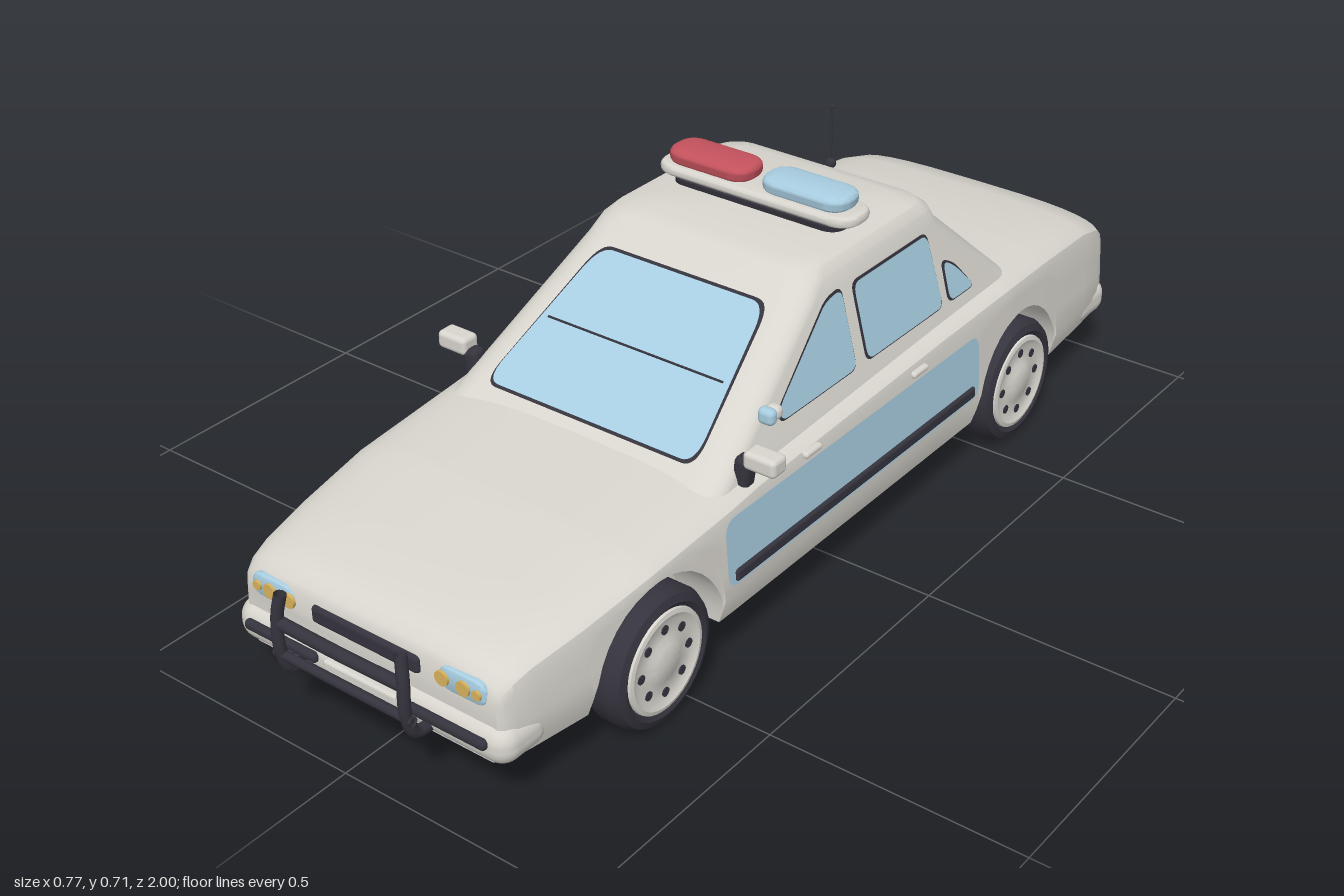
import * as THREE from 'three';
import { toCreasedNormals } from 'three/addons/utils/BufferGeometryUtils.js';
import { RoundedBoxGeometry } from 'three/addons/geometries/RoundedBoxGeometry.js';

const material = (name, color, side = THREE.FrontSide) =>
  Object.assign(new THREE.MeshStandardMaterial({ color, side }), { name });

// Skin a stack of closed rings (arrays of [x, y, z]) and cap both ends.
function loft(rings, crease = 0.6) {
  const n = rings[0].length, pos = rings.flat(2), idx = [];
  for (let i = 0; i < rings.length - 1; i++) {
    for (let j = 0; j < n; j++) {
      const k = (j + 1) % n, a = i * n + j, b = i * n + k;
      idx.push(a, b, b + n, a, b + n, a + n);
    }
  }
  [0, rings.length - 1].forEach((i) => {
    const c = pos.length / 3;
    for (let a = 0; a < 3; a++) pos.push(rings[i].reduce((s, p) => s + p[a], 0) / n);
    for (let j = 0; j < n; j++) {
      const p = i * n + j, q = i * n + (j + 1) % n;
      if (i) idx.push(c, p, q); else idx.push(c, q, p);
    }
  });
  const g = new THREE.BufferGeometry();
  g.setAttribute('position', new THREE.Float32BufferAttribute(pos, 3));
  g.setIndex(idx);
  return toCreasedNormals(g, crease);
}

// Polygon with softened corners.
function softShape(pts, r) {
  const v = pts.map((p) => new THREE.Vector2(...p)), s = new THREE.Shape();
  v.forEach((p, i) => {
    const toward = (q) => p.clone().lerp(q, Math.min(0.45, r / p.distanceTo(q)));
    const a = toward(v[(i + v.length - 1) % v.length]), b = toward(v[(i + 1) % v.length]);
    if (i) s.lineTo(a.x, a.y); else s.moveTo(a.x, a.y);
    s.quadraticCurveTo(p.x, p.y, b.x, b.y);
  });
  s.closePath();
  return s;
}
const rect = (w, h) => [[-w / 2, -h / 2], [w / 2, -h / 2], [w / 2, h / 2], [-w / 2, h / 2]];

// Linear interpolation in a table of rows [key, a, b, ...].
function sample(table, key) {
  let i = 0;
  while (i < table.length - 2 && key > table[i + 1][0]) i++;
  const t = (key - table[i][0]) / (table[i + 1][0] - table[i][0]);
  return table[i].map((v, k) => v + (table[i + 1][k] - v) * t);
}

export function createModel() {
  const car = new THREE.Group();
  car.name = 'patrolCar';
  const paint = material('paint', 0xd8d5ce);
  const glass = material('blueGlass', 0xa8cde0, THREE.DoubleSide);
  const rubber = material('darkRubber', 0x35333d, THREE.DoubleSide);
  const under = material('underbody', 0x1d1c21);
  const red = material('redLens', 0xc4525d);
  const amber = material('amberLamp', 0xd9b25c);

  const add = (name, geo, mat, x = 0, y = 0, z = 0, parent = car) => {
    const m = new THREE.Mesh(geo, mat);
    m.name = name;
    m.position.set(x, y, z);
    parent.add(m);
    return m;
  };
  const box = (name, mat, [w, h, d], [x, y, z], r = 0.01) =>
    add(name, new RoundedBoxGeometry(w, h, d, 3, Math.min(r, 0.48 * Math.min(w, h, d))), mat, x, y, z);
  const slab = (w, h, r, depth, bevel) => toCreasedNormals(new THREE.ExtrudeGeometry(
    softShape(rect(w - 2 * bevel, h - 2 * bevel), r),
    { depth, bevelSize: bevel, bevelThickness: bevel, bevelSegments: 4, curveSegments: 8 }), 0.7);
  const tube = (name, pts, r, mat) => add(name, new THREE.TubeGeometry(
    new THREE.CatmullRomCurve3(pts.map((p) => new THREE.Vector3(...p))), 16, r, 10), mat);

  // Lower body: z, half width, top height
  const hull = [[-0.985, 0.295, 0.29], [-0.975, 0.308, 0.325], [-0.95, 0.315, 0.345], [-0.88, 0.322, 0.363],
    [-0.7, 0.336, 0.378], [-0.55, 0.345, 0.385], [-0.3, 0.345, 0.38], [0.3, 0.345, 0.362], [0.38, 0.345, 0.354],
    [0.6, 0.34, 0.337], [0.75, 0.325, 0.316], [0.86, 0.308, 0.3], [0.9, 0.3, 0.287], [0.92, 0.292, 0.273],
    [0.928, 0.282, 0.258]];
  const AXLE = 0.58, FLOOR = 0.11, ARCH = 0.165;
  const stations = hull.map((h) => h[0]);
  for (const c of [-AXLE, AXLE]) {
    for (let i = 0; i <= 18; i++) stations.push(c - ARCH * Math.cos(Math.PI * i / 18));
  }
  stations.sort((a, b) => a - b);
  const flank = (hw, y) => hw - (y < 0.16 ? (0.16 - y) * 0.3 : (y - 0.16) * 0.07);
  const hullRing = (z) => {
    const [, hw, top] = sample(hull, z);
    const u = Math.min(1, Math.abs(Math.abs(z) - AXLE) / ARCH);
    const arch = FLOOR + 0.18 * Math.sqrt(1 - u * u), shoulder = Math.max(top - 0.045, arch + 0.002);
    const half = [[0, FLOOR], [0.24, FLOOR], [0.24, arch]];
    for (let i = 0; i <= 4; i++) {
      const y = arch + (shoulder - arch) * i / 4;
      half.push([flank(hw, y), y]);
    }
    const edge = flank(hw, shoulder);
    for (let i = 1; i <= 8; i++) {
      const a = Math.PI / 2 * i / 8;
      half.push([i < 8 ? edge * Math.cos(a) ** 0.6 : 0, shoulder + (top - shoulder) * Math.sin(a) ** 0.7]);
    }
    const mirrored = half.slice(1, -1).reverse().map(([x, y]) => [-x, y]);
    return [...half, ...mirrored].map(([x, y]) => [x, y, z]);
  };
  add('body', loft(stations.map(hullRing)), paint);

  // Cabin: height, front z, back z, half width
  const cabin = [[0.33, 0.422, -0.638, 0.31], [0.37, 0.36, -0.595, 0.3], [0.545, 0.085, -0.405, 0.254],
    [0.575, 0.053, -0.39, 0.245], [0.592, 0.03, -0.372, 0.23], [0.6, -0.005, -0.34, 0.2]];
  add('cabin', loft(cabin.map(([y, f, b, hw]) => {
    const r = 0.055, ring = [];
    for (let q = 0; q < 4; q++) {
      for (let i = 0; i <= 6; i++) {
        const a = Math.PI / 2 * (q + i / 6);
        const sx = q === 0 || q === 3 ? 1 : -1, sz = q < 2 ? b + r : f - r;
        ring.push([sx * (hw - r) + r * Math.cos(a), y, sz - r * Math.sin(a)]);
      }
    }
    return ring;
  }), 0.5), paint);

  // Glass plates with a dark seal, laid on a sloping face by a mapping rule
  const plate = (name, pts, r, place, mat, lift) => {
    const g = new THREE.ShapeGeometry(softShape(pts, r), 8), p = g.attributes.position;
    for (let i = 0; i < p.count; i++) p.setXYZ(i, ...place(p.getX(i), p.getY(i), lift));
    g.computeVertexNormals();
    add(name, g, mat);
  };
  const pane = (name, pts, r, place) => {
    const mid = [0, 1].map((k) => pts.reduce((s, p) => s + p[k], 0) / pts.length);
    const seal = pts.map((p) => p.map((v, k) => v + Math.sign(v - mid[k]) * 0.004));
    plate(name + 'Seal', seal, r, place, rubber, 0.002);
    plate(name, pts, r, place, glass, 0.005);
  };
  pane('windshield', [[-0.238, 0.37], [0.238, 0.37], [0.188, 0.545], [-0.188, 0.545]], 0.03,
    (x, y, l) => [x, y + l * 0.5, sample(cabin, y)[1] + l]);
  pane('rearWindow', [[-0.212, 0.392], [0.212, 0.392], [0.175, 0.52], [-0.175, 0.52]], 0.03,
    (x, y, l) => [x, y + l * 0.5, sample(cabin, y)[2] - l]);
  box('windshieldLine', rubber, [0.4, 0.004, 0.006], [0, 0.457, 0.23], 0.001);
  const sideWindows = {
    frontSideWindow: [[0.19, 0.395], [0.19, 0.42], [0.01, 0.54], [-0.042, 0.545], [-0.042, 0.395]],
    middleSideWindow: [[-0.08, 0.395], [-0.08, 0.54], [-0.325, 0.54], [-0.337, 0.395]],
    rearSideWindow: [[-0.362, 0.395], [-0.362, 0.475], [-0.395, 0.455], [-0.45, 0.395]],
  };

  // Wheel shapes
  const lathe = (pts) => toCreasedNormals(new THREE.LatheGeometry(pts.map((p) => new THREE.Vector2(...p)), 40), 0.6);
  const tyre = lathe([[0, -0.0425], [0.105, -0.0425], [0.122, -0.037], [0.13, -0.022], [0.13, 0.022],
    [0.122, 0.037], [0.108, 0.0425], [0.098, 0.036], [0, 0.034]]);
  const rim = lathe([[0.099, 0.034], [0.097, 0.041], [0.089, 0.043], [0.078, 0.037], [0.045, 0.037],
    [0.034, 0.043], [0, 0.045]]);
  const hole = new THREE.CylinderGeometry(0.009, 0.009, 0.004, 12);

  for (const s of [1, -1]) {
    const side = s > 0 ? 'left' : 'right';
    for (const [n, pts] of Object.entries(sideWindows)) {
      pane(side + n, pts, 0.02, (z, y, l) => [s * (sample(cabin, y)[3] + l), y, z]);
    }
    // Door panel, rubbing strip and handles
    plate(side + 'DoorPanel', [[-0.41, 0.182], [0.41, 0.182], [0.41, 0.315], [-0.41, 0.315]], 0.03,
      (z, y, l) => [s * (flank(0.345, y) + l), y, z], glass, 0.004);
    box(side + 'RubbingStrip', rubber, [0.014, 0.024, 0.78], [s * 0.345, 0.2, 0], 0.006);
    for (const z of [0.15, -0.2]) box(side + 'DoorHandle', paint, [0.02, 0.013, 0.05], [s * 0.332, 0.329, z], 0.006);

    // Wing mirror
    const arm = box(side + 'MirrorArm', rubber, [0.034, 0.065, 0.035], [s * 0.308, 0.36, 0.315], 0.012);
    arm.rotation.z = s * -0.15;
    box(side + 'Mirror', paint, [0.068, 0.036, 0.042], [s * 0.35, 0.395, 0.315], 0.01);

    // Headlamp with three lamps
    add(side + 'Headlight', slab(0.1, 0.046, 0.018, 0.04, 0.006), glass, s * 0.212, 0.237, 0.886);
    for (const [x, r] of [[0.172, 0.014], [0.217, 0.014], [0.246, 0.009]]) {
      add(side + 'Lamp', new THREE.CylinderGeometry(r, r, 0.006, 20), amber, s * x, 0.237, 0.934).rotation.x = Math.PI / 2;
    }
    box(side + 'BumperStrip', rubber, [0.17, 0.02, 0.018], [s * 0.187, 0.156, 0.945], 0.009);

    // Push bar upright and tail lamp
    tube(side + 'PushBarUpright', [[s * 0.141, 0.132, 0.935], [s * 0.141, 0.138, 0.97], [s * 0.141, 0.18, 0.988],
      [s * 0.141, 0.25, 0.988], [s * 0.134, 0.295, 0.982]], 0.011, rubber);
    box(side + 'TailLamp', red, [0.15, 0.026, 0.02], [s * 0.145, 0.265, -0.982], 0.006);
    box(side + 'ReverseLamp', paint, [0.04, 0.012, 0.01], [s * 0.12, 0.265, -0.989], 0.003);

    for (const z of [AXLE, -AXLE]) {
      const wheel = new THREE.Group();
      wheel.name = side + (z > 0 ? 'FrontWheel' : 'RearWheel');
      wheel.position.set(s * 0.303, 0.132, z);
      wheel.rotation.z = -s * Math.PI / 2;
      add('tyre', tyre, rubber, 0, 0, 0, wheel);
      add('rim', rim, paint, 0, 0, 0, wheel);
      for (let i = 0; i < 8; i++) {
        const a = Math.PI * i / 4;
        add('rimHole', hole, rubber, 0.064 * Math.cos(a), 0.037, 0.064 * Math.sin(a), wheel);
      }
      car.add(wheel);
    }
  }

  // Underbody
  box('chassis', under, [0.47, 0.035, 1.46], [0, 0.098, 0], 0.004);
  box('floorPan', under, [0.64, 0.014, 0.82], [0, 0.105, 0], 0.003);

  // Front end
  box('frontBumper', paint, [0.615, 0.08, 0.12], [0, 0.148, 0.884], 0.036);
  box('frontPlate', paint, [0.165, 0.034, 0.02], [0, 0.152, 0.944], 0.006);
  box('grille', rubber, [0.24, 0.034, 0.02], [0, 0.234, 0.926], 0.008);
  tube('upperPushBar', [[-0.141, 0.238, 0.986], [0, 0.238, 0.988], [0.141, 0.238, 0.986]], 0.012, rubber);
  tube('lowerPushBar', [[-0.155, 0.174, 0.986], [0, 0.174, 0.986], [0.155, 0.174, 0.986]], 0.009, rubber);

  // Rear end
  box('rearBumper', paint, [0.635, 0.08, 0.13], [0, 0.15, -0.931], 0.034);
  box('rearBumperStrip', rubber, [0.54, 0.02, 0.016], [0, 0.156, -0.992], 0.007);
  box('tailCentre', rubber, [0.15, 0.018, 0.02], [0, 0.265, -0.982], 0.005);
  box('rearPlate', paint, [0.12, 0.036, 0.016], [0, 0.222, -0.984], 0.005);

  // Roof light bar
  const lying = (name, geo, mat, x, y, z) => { add(name, geo, mat, x, y, z).rotation.x = -Math.PI / 2; };
  lying('lightBarFoot', slab(0.385, 0.08, 0.03, 0.008, 0.006), rubber, 0, 0.601, -0.16);
  lying('lightBarBase', slab(0.45, 0.1, 0.04, 0.002, 0.01), paint, 0, 0.625, -0.16);
  lying('redBeacon', slab(0.19, 0.088, 0.03, 0.006, 0.012), red, -0.109, 0.65, -0.16);
  lying('blueBeacon', slab(0.19, 0.088, 0.03, 0.006, 0.012), glass, 0.107, 0.65, -0.16);

  // Aerial
  add('aerial', new THREE.CylinderGeometry(0.002, 0.002, 0.12, 8), rubber, 0, 0.652, -0.385);
  add('aerialFoot', new THREE.SphereGeometry(0.011, 14, 10), rubber, 0, 0.594, -0.385);
  add('aerialTip', new THREE.SphereGeometry(0.004, 10, 8), rubber, 0, 0.712, -0.385);

  // Spotlight on the left windshield pillar
  box('spotlight', glass, [0.034, 0.032, 0.024], [0.305, 0.435, 0.245], 0.011);
  box('spotlightShell', paint, [0.03, 0.028, 0.026], [0.305, 0.435, 0.226], 0.012);
  tube('spotlightArm', [[0.275, 0.42, 0.225], [0.29, 0.426, 0.225], [0.3, 0.432, 0.225]], 0.005, rubber);
  return car;
}
